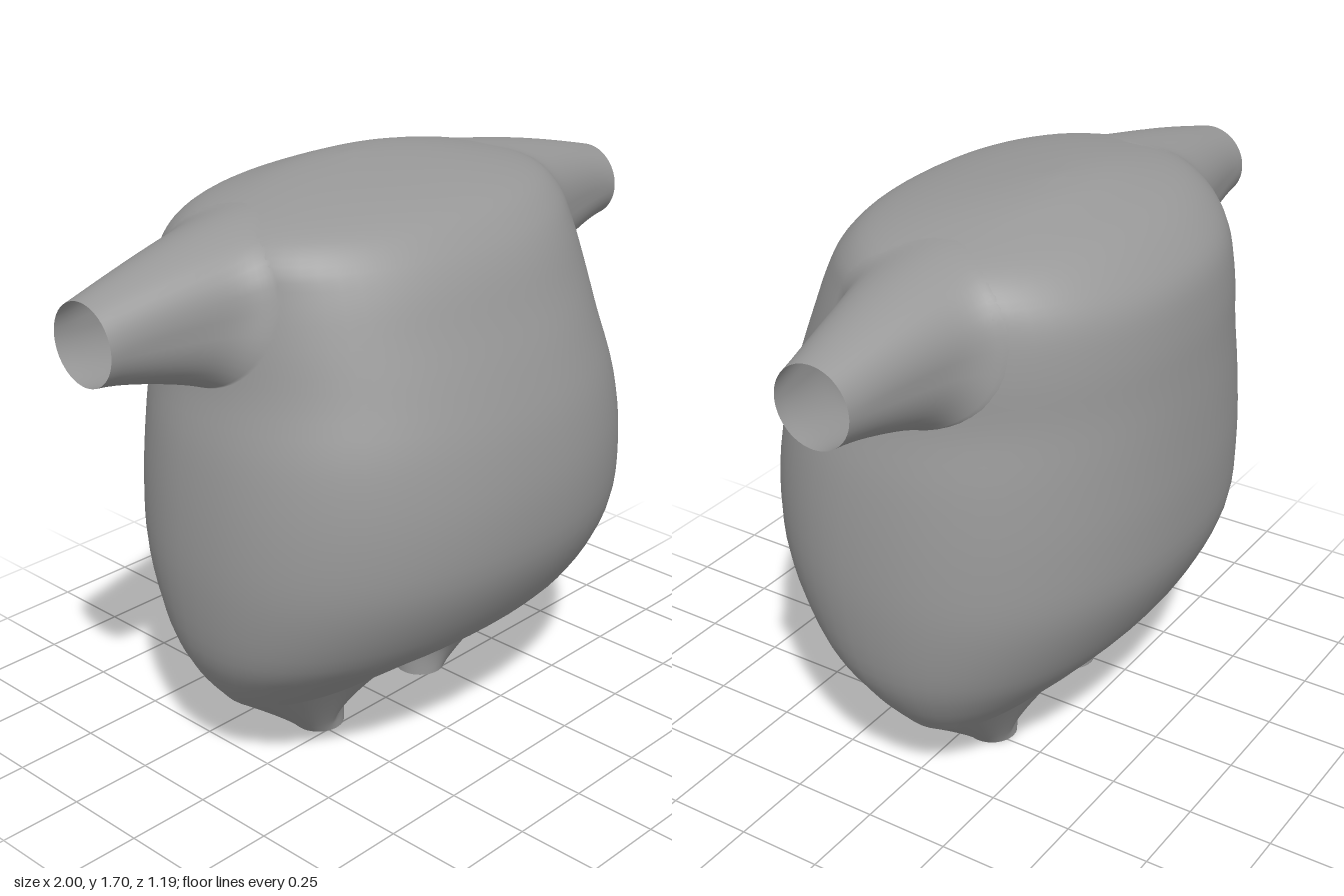
import * as THREE from 'three';
import { mergeGeometries, mergeVertices } from 'three/addons/utils/BufferGeometryUtils.js';

// Body sections from crotch to crown: y, half width, front z, back z
const SECTIONS = [
  [0.22, 0.57, 0.16, -0.27], [0.32, 0.65, 0.29, -0.37], [0.45, 0.71, 0.445, -0.475],
  [0.65, 0.735, 0.565, -0.57], [0.85, 0.73, 0.595, -0.59], [1.05, 0.705, 0.575, -0.585],
  [1.22, 0.665, 0.525, -0.575], [1.36, 0.65, 0.47, -0.565], [1.48, 0.63, 0.42, -0.54],
  [1.56, 0.61, 0.365, -0.48], [1.62, 0.54, 0.29, -0.40], [1.66, 0.38, 0.16, -0.30],
  [1.685, 0.2, 0.0, -0.22], [1.696, 0, -0.13, -0.13],
];
const LAST = SECTIONS.length - 1;
const SIDES = 64;
const POWER = 2.2; // slightly squared ellipse
const ARM = { y: 1.417, z: -0.078, r: 0.112 };
const LEG = { x: 0.225, z: -0.065, r: 0.075 };

const spline = new THREE.CubicInterpolant(SECTIONS.map((_, i) => i), SECTIONS.flat(), 4, new Float32Array(4));
const section = (u) => Array.from(spline.evaluate(u));
const { lerp, smoothstep } = THREE.MathUtils;
const soft = (v) => Math.sign(v) * Math.abs(v) ** (2 / POWER);

// Grid of quads from point(i, j); keep(centre) decides which quads stay
function grid(rows, cols, point, flip = false, keep = () => true) {
  const pts = [], index = [];
  for (let i = 0; i <= rows; i++) for (let j = 0; j <= cols; j++) pts.push(point(i, j % cols));
  for (let i = 0; i < rows; i++) {
    for (let j = 0; j < cols; j++) {
      const a = i * (cols + 1) + j, b = a + 1, d = a + cols + 1, c = d + 1;
      if (!keep(pts[a].clone().add(pts[c]).multiplyScalar(0.5))) continue;
      index.push(...(flip ? [a, c, b, a, d, c] : [a, b, c, a, c, d]));
    }
  }
  return new THREE.BufferGeometry().setFromPoints(pts).setIndex(index);
}

// Vertices welded so that normals run smoothly across seams
function weld(geometry) {
  const welded = mergeVertices(geometry, 1e-4);
  welded.computeVertexNormals();
  return welded;
}

function bodyPoint(u, angle) {
  const [y, rx, front, back] = section(u);
  const x = rx * soft(Math.sin(angle)), c = soft(Math.cos(angle));
  // The lower edge rises a little between the legs
  const lift = 0.04 * Math.exp(-((x / 0.16) ** 2)) * Math.max(0, 1 - u / 2) ** 2;
  return new THREE.Vector3(x, y + lift, (front + back) / 2 + c * (front - back) / 2);
}

// Half width of the body at a given height and depth
function bodyX(y, z) {
  let lo = 0, hi = LAST;
  for (let k = 0; k < 30; k++) {
    const mid = (lo + hi) / 2;
    if (section(mid)[0] < y) lo = mid; else hi = mid;
  }
  const [, rx, front, back] = section(lo);
  const d = Math.abs((2 * z - front - back) / (front - back));
  return rx * Math.max(0, 1 - d ** POWER) ** (1 / POWER);
}

// Leg: half of the lower body edge plus the crotch line, closing to a round opening
function leg(side) {
  const rows = 16, half = SIDES / 2;
  const [y0, , front, back] = section(0);
  return grid(rows, SIDES, (i, j) => {
    const t = (1 - i / rows) ** 1.6, angle = (j / half) * Math.PI;
    let top;
    if (j <= half) top = bodyPoint(0, angle);
    else {
      const q = (j - half) / half;
      top = new THREE.Vector3(0, y0 + 0.04 * (2 * q - 1) ** 2, lerp(back, front, q));
    }
    // The inner side pulls in quickly, the outer side runs straight
    const inner = smoothstep(0.6 - Math.sin(angle), 0, 1);
    const wx = 1 - (1 - t) ** (1.1 + 4 * inner);
    const wz = 1 - (1 - t) ** (1.1 + 1.2 * inner);
    return new THREE.Vector3(
      side * lerp(top.x, LEG.x + LEG.r * Math.sin(angle), wx),
      top.y * (1 - t),
      lerp(top.z, LEG.z + LEG.r * Math.cos(angle), wz));
  }, side < 0);
}

// Arm: open tapering tube that flares out of the body surface
function arm(side) {
  const rows = 18, cols = 48;
  const geometry = weld(grid(rows, cols, (i, j) => {
    const t = (i / rows) ** 1.7, angle = (j / cols) * Math.PI * 2;
    const c = Math.cos(angle), s = Math.sin(angle), up = Math.max(0, c);
    const radius = (k) => {
      const taper = lerp(1 - (1 - k) ** 1.35, k ** 1.3, up);
      return lerp(0.2 + 0.033 * up, ARM.r, taper) + 0.06 * s * s * (1 - k) ** 10;
    };
    const rootX = bodyX(ARM.y + radius(0) * c, ARM.z + radius(0) * s);
    const y = ARM.y + radius(t) * c, z = ARM.z + radius(t) * s;
    const x = i === 0 ? rootX - 0.003 : Math.max(lerp(rootX, 1, t), bodyX(y, z));
    return new THREE.Vector3(side * x, y, z);
  }, side < 0));

  // Root normals follow the body so the shading blends
  const { position, normal } = geometry.attributes, e = 0.01;
  for (let j = 0; j < cols; j++) {
    const y = position.getY(j), z = position.getZ(j);
    const n = new THREE.Vector3(side,
      (bodyX(y - e, z) - bodyX(y + e, z)) / (2 * e),
      (bodyX(y, z - e) - bodyX(y, z + e)) / (2 * e)).normalize();
    normal.setXYZ(j, n.x, n.y, n.z);
  }
  return geometry;
}

export function createModel() {
  const group = new THREE.Group();
  const material = new THREE.MeshStandardMaterial({ color: 0x989898, side: THREE.DoubleSide });
  const add = (name, geometry) => {
    const mesh = new THREE.Mesh(geometry, material);
    mesh.name = name;
    group.add(mesh);
  };

  // Torso with arm openings, welded to both legs
  const rows = LAST * 4;
  const torso = grid(rows, SIDES,
    (i, j) => bodyPoint((i / rows) * LAST, (j / SIDES) * Math.PI * 2), false,
    (p) => Math.abs(p.x) < 0.4 || Math.hypot(p.y - ARM.y, p.z - ARM.z) > 0.165);
  add('bodyAndLegs', weld(mergeGeometries([torso, leg(1), leg(-1)])));

  add('leftArm', arm(1));
  add('rightArm', arm(-1));
  return group;
}
